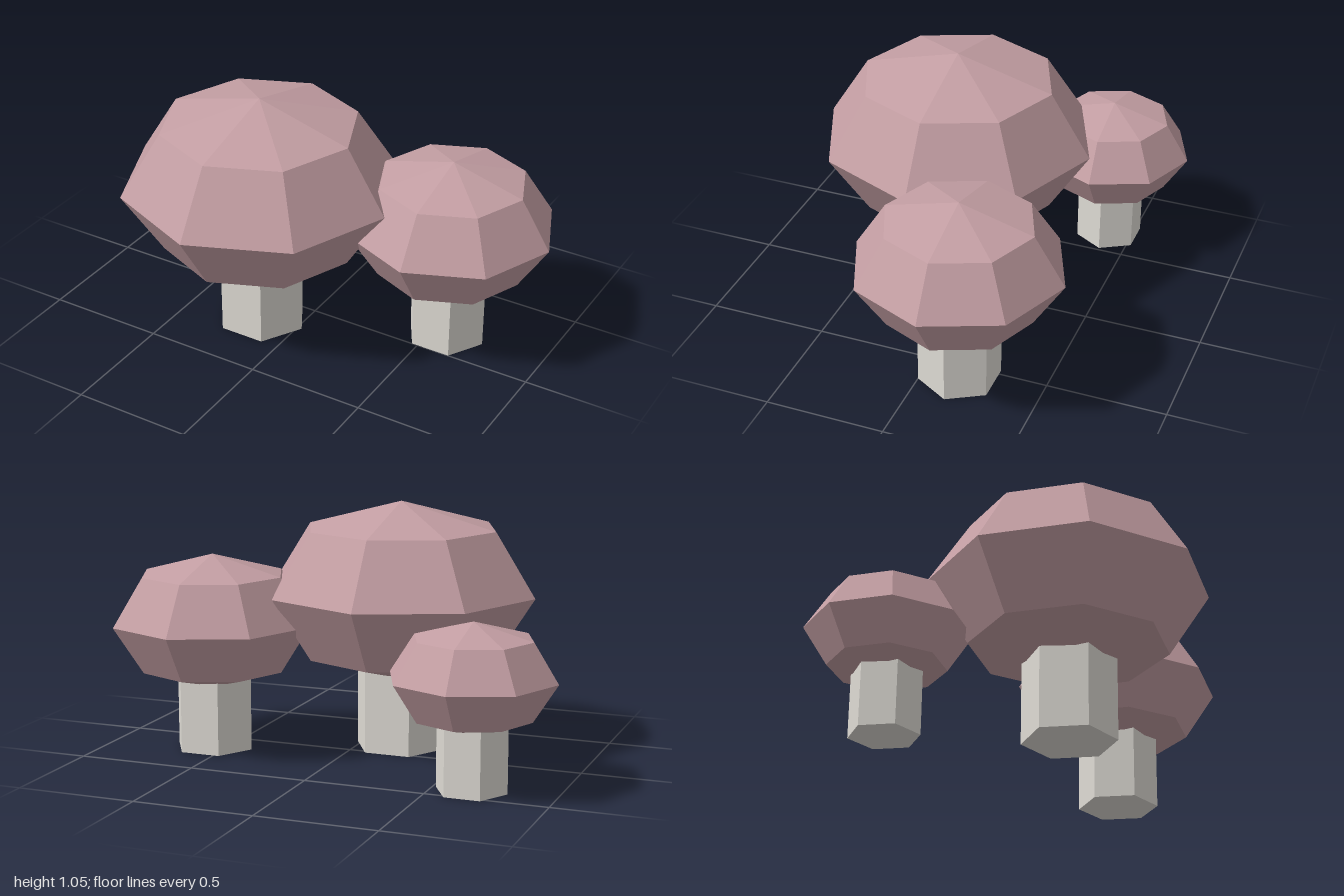
import * as THREE from 'three';

export function createModel() {
  const group = new THREE.Group();
  group.name = 'mushroomCluster';

  const capMaterial = new THREE.MeshStandardMaterial({ color: 0xc39ea3, flatShading: true });
  capMaterial.name = 'dusty pink';
  const stemMaterial = new THREE.MeshStandardMaterial({ color: 0xdedbd4, flatShading: true });
  stemMaterial.name = 'pale grey';

  // One mushroom: a squashed faceted cap on a six-sided stem
  function addMushroom(name, x, z, capY, capRadius, stemRadius) {
    const mushroom = new THREE.Group();
    mushroom.name = name;
    mushroom.position.set(x, 0, z);

    const cap = new THREE.Mesh(new THREE.SphereGeometry(capRadius, 8, 4), capMaterial);
    cap.name = 'cap';
    cap.scale.y = 0.65;
    cap.position.y = capY;

    // The stem ends hidden inside the cap
    const stem = new THREE.Mesh(new THREE.CylinderGeometry(stemRadius, stemRadius, capY, 6), stemMaterial);
    stem.name = 'stem';
    stem.rotation.y = Math.PI / 6;
    stem.position.y = capY / 2;

    mushroom.add(cap, stem);
    group.add(mushroom);
  }

  addMushroom('largeMushroom', -0.173, 0.146, 0.672, 0.582, 0.194);
  addMushroom('mediumMushroom', 0.56, -0.148, 0.545, 0.437, 0.17);
  addMushroom('smallMushroom', -0.66, -0.393, 0.45, 0.34, 0.146);

  return group;
}
